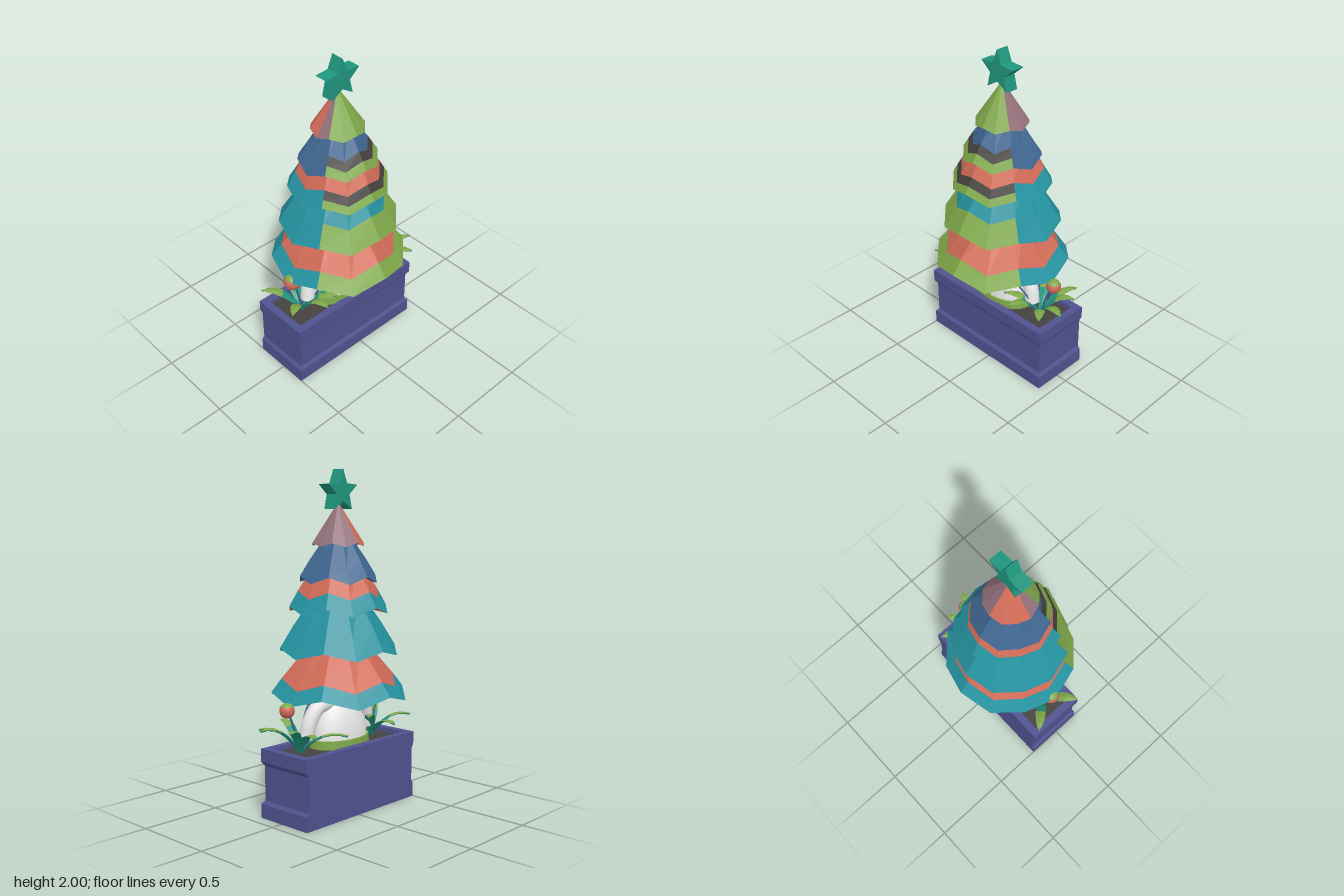
import * as THREE from 'three';

const mat = (name, color) => new THREE.MeshStandardMaterial({ name, color, side: THREE.DoubleSide });
const M = {
  teal: mat('teal', 0x2593a0), green: mat('leafGreen', 0x7fa84a), orange: mat('coral', 0xd06b57),
  blue: mat('slateBlue', 0x3f6690), purple: mat('planterPurple', 0x50528f), dark: mat('charcoal', 0x45423f),
  white: mat('white', 0xefefef), emerald: mat('emerald', 0x20967d), mauve: mat('mauve', 0x94707a),
};
const V = (x, y, z) => new THREE.Vector3(x, y, z);

function mesh(name, geo, material, parent) {
  const m = new THREE.Mesh(geo, material);
  m.name = name;
  parent.add(m);
  return m;
}

// Joins closed rings of points with flat faces; colourOf(row, column) picks the colour of each face.
function loft(name, rings, colourOf, parent) {
  const group = new THREE.Group();
  group.name = name;
  const faces = {};
  for (let r = 0; r < rings.length - 1; r++) {
    const lo = rings[r], hi = rings[r + 1], n = lo.length;
    for (let c = 0; c < n; c++) {
      const d = (c + 1) % n;
      (faces[colourOf(r, c)] ??= []).push(lo[c], lo[d], hi[d], lo[c], hi[d], hi[c]);
    }
  }
  for (const [colour, points] of Object.entries(faces)) {
    const geo = new THREE.BufferGeometry().setFromPoints(points);
    geo.computeVertexNormals();
    mesh(`${name} ${colour}`, geo, M[colour], group);
  }
  parent.add(group);
  return group;
}

// Planter: moulded front and ends, plain back, open underneath
function addPlanter(root) {
  const ring = (y, inset, back = 0) => [
    V(-0.5 + inset, y, 0.165 - inset), V(0.43 - inset, y, 0.165 - inset),
    V(0.43 - inset, y, -0.208 + back), V(-0.5 + inset, y, -0.208 + back),
  ];
  loft('planter', [
    ring(0, 0), ring(0.085, 0), ring(0.105, 0.016), ring(0.31, 0.016), ring(0.335, 0),
    ring(0.412, 0), ring(0.412, 0.046, 0.046), ring(0.37, 0.046, 0.046),
  ], () => 'purple', root);
  const soil = mesh('soil', new THREE.PlaneGeometry(0.84, 0.284), M.dark, root);
  soil.rotation.x = -Math.PI / 2;
  soil.position.set(-0.035, 0.385, -0.021);
}

// One twelve-sided tier: radii run from hem to top, front and back list band colours from the hem up
function addTier(parent, name, { radii, y, slope, zig, under, front, back }) {
  const ring = (r, height, wave) => Array.from({ length: 12 }, (_, i) => {
    const a = i * Math.PI / 6;
    return V(r * Math.sin(a), height + (i % 2 ? -wave : wave), r * Math.cos(a));
  });
  const rings = [ring(0.004, y + 0.045, 0)];
  radii.forEach((r, i) => rings.push(
    ring(r, y + (radii[0] - r) * slope, i === radii.length - 1 ? 0 : zig)));
  loft(name, rings, (row, col) => {
    if (row === 0) return under;
    const bands = col < 2 || col > 9 ? front : back;
    const band = bands[Math.min(row - 1, bands.length - 1)];
    return typeof band === 'function' ? band(col) : band;
  }, parent);
}

function addTree(root) {
  const tree = new THREE.Group();
  tree.name = 'tree';
  tree.position.x = -0.04;
  root.add(tree);
  const tiers = [
    { radii: [0.405, 0.343, 0.17], y: 0.693, slope: 1.29, zig: 0.026, under: 'orange',
      front: ['green', 'orange'], back: ['teal', 'orange'] },
    { radii: [0.352, 0.275, 0.16], y: 0.953, slope: 1.6, zig: 0.022, under: 'teal',
      front: ['green', 'teal'], back: ['teal'] },
    { radii: [0.294, 0.27, 0.243, 0.15], y: 1.196, slope: 1.75, zig: 0.021, under: 'orange',
      front: ['green', 'dark', 'orange'], back: ['teal', 'teal', 'orange'] },
    { radii: [0.23, 0.2, 0.17, 0.08], y: 1.37, slope: 1.6, zig: 0.02, under: 'blue',
      front: ['green', 'dark', 'blue'], back: ['blue'] },
    { radii: [0.155, 0.002], y: 1.57, slope: 1.57, zig: 0.01, under: 'mauve',
      front: ['green'], back: [col => (col >= 6 && col <= 8 ? 'orange' : 'mauve')] },
  ];
  tiers.forEach((t, i) => addTier(tree, `tier${i + 1}`, t));

  // Star on the top
  const shape = new THREE.Shape();
  for (let i = 0; i < 10; i++) {
    const a = Math.PI / 2 + i * Math.PI / 5, r = i % 2 ? 0.056 : 0.126;
    shape[i ? 'lineTo' : 'moveTo'](r * Math.cos(a), r * Math.sin(a));
  }
  const star = new THREE.ExtrudeGeometry(shape, { depth: 0.08, bevelEnabled: false });
  mesh('star', star.translate(0, 1.874, -0.04), M.emerald, tree);
}

// Rounded white figure under the tree, with bent arms, a belt and a front stripe
function addFigure(root) {
  const figure = new THREE.Group();
  figure.name = 'figure';
  figure.position.set(-0.04, 0, -0.01);
  root.add(figure);
  const body = mesh('body', new THREE.SphereGeometry(1, 28, 14, 0, Math.PI * 2, 0, Math.PI / 2), M.white, figure);
  body.scale.set(0.2, 0.29, 0.13);
  body.position.y = 0.4;
  const belt = mesh('belt', new THREE.CylinderGeometry(1, 1.02, 0.05, 28), M.green, figure);
  belt.scale.set(0.21, 1, 0.14);
  belt.position.y = 0.415;
  const stripe = new THREE.PlaneGeometry(0.034, 0.25, 1, 10);
  const p = stripe.attributes.position;
  for (let i = 0; i < p.count; i++) {
    const y = p.getY(i) + 0.555;
    p.setXYZ(i, p.getX(i), y, 0.134 * Math.sqrt(1 - ((y - 0.4) / 0.29) ** 2) + 0.002);
  }
  stripe.computeVertexNormals();
  mesh('stripe', stripe, M.green, figure);
  for (const s of [-1, 1]) {
    const path = new THREE.CatmullRomCurve3([
      V(s * 0.09, 0.65, 0), V(s * 0.18, 0.635, 0), V(s * 0.235, 0.56, 0.01), V(s * 0.26, 0.46, 0.02)]);
    mesh('arm', new THREE.TubeGeometry(path, 14, 0.045, 12), M.white, figure);
  }
}

// Arching leaf blade with a diamond section and a light outer upper face
function addLeaf(parent, base, tip) {
  const out = tip.clone().sub(base).setY(0).normalize();
  const side = V(out.z, 0, -out.x);
  const mid = base.clone().lerp(tip, 0.45).setY(tip.y + 0.04);
  const curve = new THREE.QuadraticBezierCurve3(base, mid, tip);
  const rings = [];
  for (let i = 0; i <= 6; i++) {
    const t = i / 6, c = curve.getPoint(t);
    const w = 0.008 + 0.024 * Math.sin(Math.PI * Math.min(1, t * 0.95 + 0.02));
    const normal = curve.getTangent(t).cross(side).normalize();
    const at = (s, n) => c.clone().addScaledVector(side, s * w * (i === 6 ? 0.1 : 1)).addScaledVector(normal, n);
    rings.push([at(1, 0), at(0, 0.006), at(-1, 0), at(0, -0.009)]);
  }
  loft('leaf', rings, (row, col) => (row > 2 && col < 2 ? 'green' : 'emerald'), parent);
}

// Round bud with a light cap on a thin bent stem
function addBud(parent, base, top, radius) {
  const mid = base.clone().lerp(top, 0.6);
  mid.x = base.x + (top.x - base.x) * 0.35;
  mesh('stem', new THREE.TubeGeometry(new THREE.QuadraticBezierCurve3(base, mid, top), 8, 0.006, 6), M.blue, parent);
  const part = (name, from, length, material) => mesh(name,
    new THREE.SphereGeometry(radius, 14, 8, 0, Math.PI * 2, from, length), material, parent).position.copy(top);
  part('budCap', 0, Math.PI * 0.32, M.green);
  part('bud', Math.PI * 0.32, Math.PI * 0.68, M.orange);
}

function addPlants(root) {
  const plants = [
    { name: 'leftPlant', x: 0.28, tips: [[0.51, 0.08], [0.37, -0.22], [0.07, 0.1], [0.22, 0.22], [0.43, 0.18], [0.13, -0.24], [0.45, -0.1]],
      buds: [[0.378, 0.65, 0, 0.044], [0.095, 0.655, 0.1, 0.032]] },
    { name: 'rightPlant', x: -0.34, tips: [[-0.52, 0.13], [-0.5, -0.18], [-0.18, 0.15], [-0.32, 0.22], [-0.08, 0.17], [-0.28, -0.24], [-0.17, -0.13]],
      buds: [[-0.405, 0.655, 0, 0.052], [-0.285, 0.63, 0, 0.042], [-0.12, 0.638, 0.1, 0.033]] },
  ];
  for (const { name, x, tips, buds } of plants) {
    const plant = new THREE.Group();
    plant.name = name;
    root.add(plant);
    tips.forEach(([tx, tz], i) => addLeaf(plant, V(x, 0.39, 0), V(tx, 0.54 - 0.02 * (i % 3), tz)));
    buds.forEach(([bx, by, bz, r]) => addBud(plant, V(x, 0.39, 0), V(bx, by, bz), r));
  }
}

export function createModel() {
  const root = new THREE.Group();
  root.name = 'plantedTree';
  addPlanter(root);
  addTree(root);
  addFigure(root);
  addPlants(root);
  return root;
}
